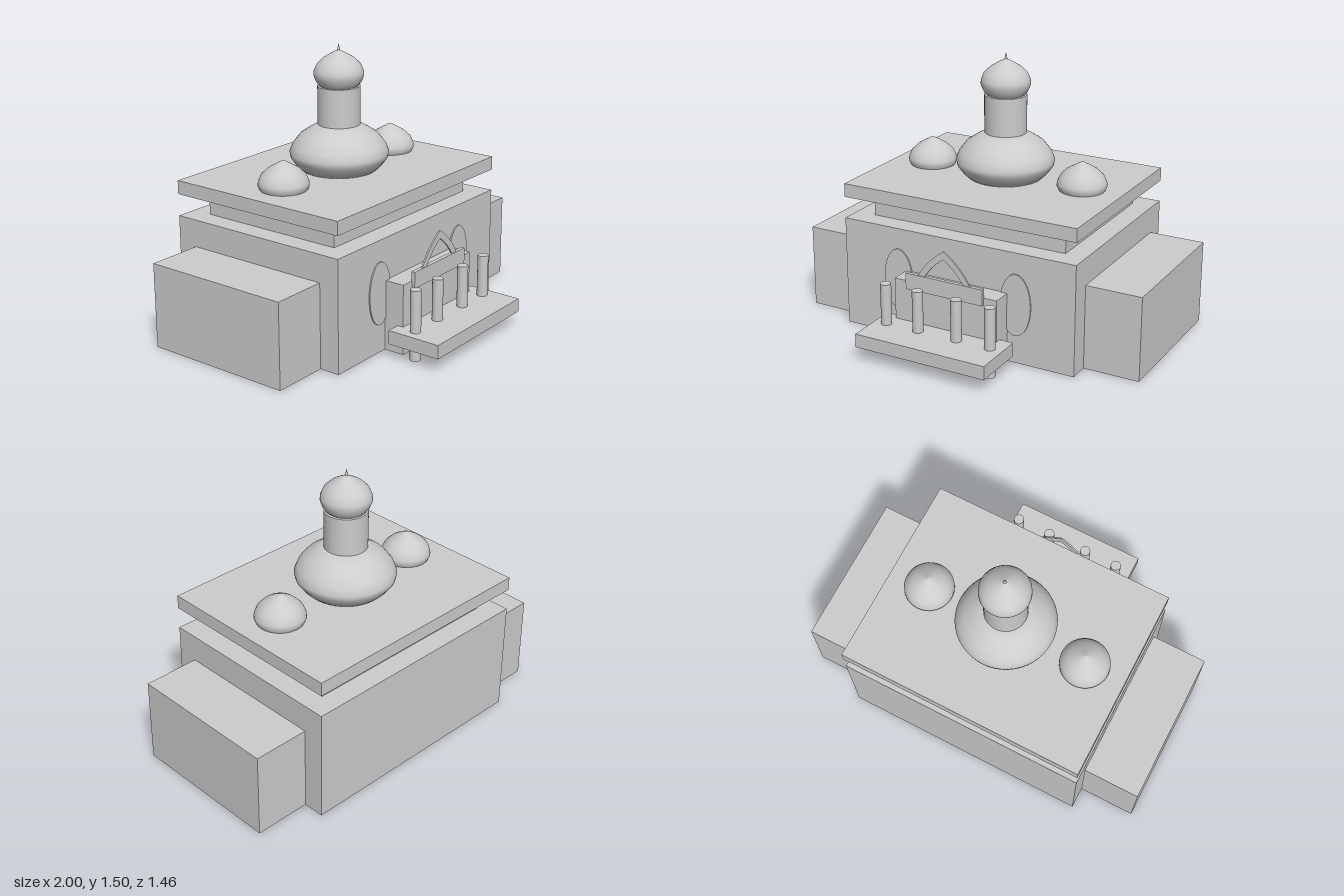
import * as THREE from 'three';

export function createModel() {
  const model = new THREE.Group();
  model.name = 'domedHall';
  const stone = new THREE.MeshStandardMaterial({ color: 0xcccccc });
  stone.name = 'pale grey stone';

  const add = (name, geometry, x = 0, y = 0, z = 0) => {
    const mesh = new THREE.Mesh(geometry, stone);
    mesh.name = name;
    mesh.position.set(x, y, z);
    model.add(mesh);
    return mesh;
  };
  // Box given by its limits on each axis
  const block = (name, x0, x1, y0, y1, z0, z1) =>
    add(name, new THREE.BoxGeometry(x1 - x0, y1 - y0, z1 - z0),
      (x0 + x1) / 2, (y0 + y1) / 2, (z0 + z1) / 2);
  // Smooth solid of revolution around a vertical axis
  const turned = (name, profile, x, z) =>
    add(name, new THREE.LatheGeometry(profile.map(([r, y]) => new THREE.Vector2(r, y)), 48), x, 0, z);

  // Hall, side wings, upper tier and overhanging roof slab
  block('hall', -0.69, 0.69, 0, 0.615, -0.73, 0.345);
  block('rightWing', -1, -0.69, 0, 0.465, -0.615, 0.23);
  block('leftWing', 0.69, 1, 0, 0.465, -0.615, 0.23);
  block('upperTier', -0.575, 0.575, 0.615, 0.715, -0.615, 0.23);
  block('roofSlab', -0.69, 0.69, 0.735, 0.81, -0.73, 0.345);

  // Central dome, drum, onion cap and spire
  const domeZ = -0.193;
  turned('centralDome', [[0, 0.81], [0.2, 0.81], [0.232, 0.84], [0.262, 0.88], [0.268, 0.91],
    [0.252, 0.95], [0.213, 1.0], [0.16, 1.035], [0.112, 1.063], [0, 1.063]], 0, domeZ);
  add('drum', new THREE.CylinderGeometry(0.115, 0.115, 0.21, 48), 0, 1.165, domeZ);
  turned('onionCap', [[0, 1.268], [0.104, 1.268], [0.122, 1.295], [0.134, 1.325], [0.133, 1.35],
    [0.118, 1.385], [0.085, 1.418], [0.045, 1.442], [0.012, 1.46], [0, 1.465]], 0, domeZ);
  add('spire', new THREE.ConeGeometry(0.01, 0.045, 12), 0, 1.475, domeZ);

  // Small domes on both sides
  for (const x of [-0.46, 0.46]) {
    turned('sideDome', [[0.124, 0.81], [0.134, 0.83], [0.133, 0.85], [0.118, 0.885],
      [0.085, 0.918], [0.045, 0.942], [0.012, 0.96], [0, 0.964]], x, domeZ);
  }

  // Entrance block, lintel and porch platform
  block('portal', -0.305, 0.305, 0, 0.385, 0.345, 0.46);
  block('lintel', -0.228, 0.228, 0.345, 0.435, 0.455, 0.476);
  block('porchPlatform', -0.382, 0.382, 0.08, 0.155, 0.425, 0.73);

  // Porch columns
  for (const x of [-0.31, -0.116, 0.114, 0.31]) {
    add('porchColumn', new THREE.CylinderGeometry(0.029, 0.029, 0.385, 24), x, 0.1925, 0.542);
  }

  // Pointed arch above the lintel
  const arch = new THREE.Shape();
  arch.moveTo(-0.157, 0.43);
  arch.quadraticCurveTo(-0.1, 0.53, 0, 0.597);
  arch.quadraticCurveTo(0.1, 0.53, 0.157, 0.43);
  arch.lineTo(0.118, 0.43);
  arch.quadraticCurveTo(0.07, 0.505, 0, 0.552);
  arch.quadraticCurveTo(-0.07, 0.505, -0.118, 0.43);
  arch.closePath();
  add('pointedArch', new THREE.ExtrudeGeometry(arch, { depth: 0.009, bevelEnabled: false }), 0, 0, 0.463);

  // Thin oval panels on the front wall
  const oval = new THREE.Shape();
  oval.absellipse(0, 0, 0.088, 0.172, 0, Math.PI * 2);
  for (const x of [-0.353, 0.353]) {
    add('wallPanel', new THREE.ExtrudeGeometry(oval, { depth: 0.007, bevelEnabled: false, curveSegments: 20 }), x, 0.328, 0.345);
  }

  return model;
}
